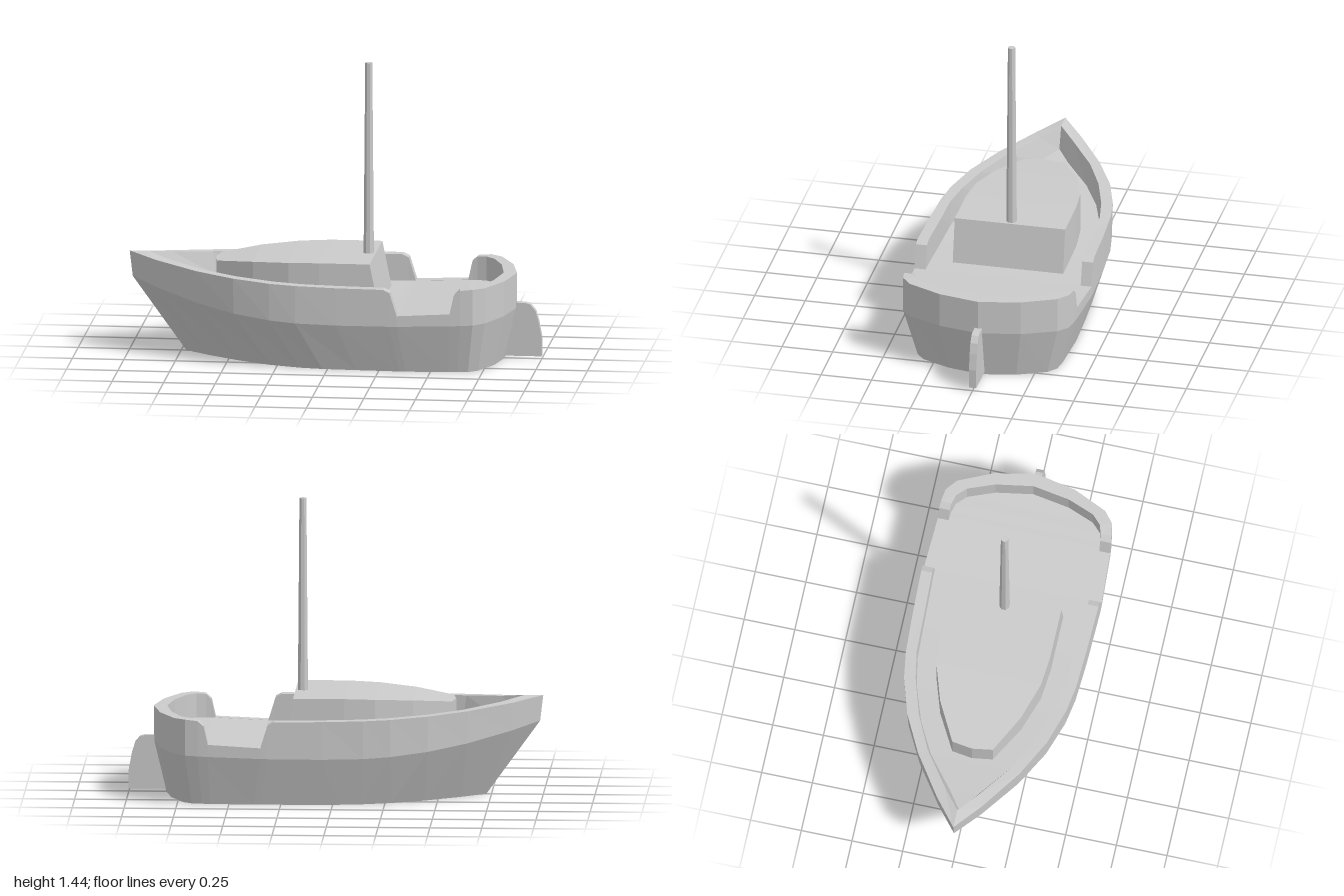
import * as THREE from 'three';

const material = new THREE.MeshStandardMaterial({ color: 0xcccccc, flatShading: true });

function addMesh(group, name, geometry) {
  const mesh = new THREE.Mesh(geometry, material);
  mesh.name = name;
  group.add(mesh);
  return mesh;
}

// Skins a row of half sections (points on the +z side, listed from top to bottom),
// each mirrored into a closed loop.
function loftMirrored(halfSections) {
  const loops = halfSections.map((half) => [
    ...half,
    ...half.map(([x, y, z]) => [x, y, -z]).reverse(),
  ]);
  const positions = [];
  for (let i = 0; i < loops.length - 1; i++) {
    const n = loops[i].length;
    for (let j = 0; j < n; j++) {
      const k = (j + 1) % n;
      const a = loops[i][j], b = loops[i][k], c = loops[i + 1][k], d = loops[i + 1][j];
      positions.push(...a, ...b, ...c, ...a, ...c, ...d);
    }
  }
  const geometry = new THREE.BufferGeometry();
  geometry.setAttribute('position', new THREE.Float32BufferAttribute(positions, 3));
  geometry.computeVertexNormals();
  return geometry;
}

// Stations from bow to stern: rim x, rim z, rim y, inner x, inner z, deck y
const stations = [
  [-1, 0, 0.485, -0.91, 0, 0.38],
  [-0.86, 0.11, 0.465, -0.8, 0.085, 0.36],
  [-0.65, 0.25, 0.445, -0.62, 0.21, 0.335],
  [-0.46, 0.345, 0.433, -0.45, 0.29, 0.32],
  [-0.28, 0.4, 0.424, -0.27, 0.345, 0.305],
  [-0.15, 0.42, 0.42, -0.13, 0.37, 0.295],
  [0.05, 0.43, 0.416, 0.05, 0.375, 0.287],
  [0.28, 0.437, 0.415, 0.28, 0.383, 0.285],
  [0.31, 0.438, 0.4, 0.31, 0.384, 0.285],
  // boarding gap in the bulwark
  [0.345, 0.438, 0.287, 0.345, 0.384, 0.286],
  [0.6, 0.425, 0.3, 0.6, 0.372, 0.299],
  [0.62, 0.423, 0.39, 0.62, 0.371, 0.3],
  [0.65, 0.42, 0.415, 0.645, 0.368, 0.3],
  [0.71, 0.41, 0.42, 0.69, 0.355, 0.302],
  [0.765, 0.365, 0.42, 0.735, 0.31, 0.303],
  [0.84, 0.2, 0.42, 0.785, 0.18, 0.305],
  [0.88, 0, 0.42, 0.815, 0, 0.307],
];

// Hull, bulwark, deck and flat bottom as one closed skin
function hullGeometry() {
  return loftMirrored(stations.map(([x, z, y, ix, iz, deckY]) => {
    const bow = Math.max(0, -x);
    const chineY = 0.232 + (x < 0 ? 0.128 : 0.024) * x * x;
    const bottomX = THREE.MathUtils.mapLinear(x, -1, 0.88, -0.725, 0.82);
    return [
      [ix + 0.04 * bow * bow, deckY, Math.max(0, iz - 0.02 * bow)],
      [ix, y, iz],
      [x, y, z],
      [x + 0.015 * bow * bow, chineY, z * (1 - 0.04 * bow)],
      [bottomX, 0, z * 0.84],
    ];
  }));
}

// Cabin with upright sides, a gently rising roof and a raked aft wall
function cabinGeometry() {
  const floorY = 0.28;
  const sections = [ // x, half width, roof y
    [-0.58, 0, 0.466],
    [-0.565, 0.1, 0.467],
    [-0.38, 0.2, 0.487],
    [-0.2, 0.258, 0.498],
    [-0.05, 0.272, 0.503],
    [0.195, 0.273, 0.503],
    [0.195, 0, 0.503],
  ];
  return loftMirrored(sections.map(([x, z, y]) => [
    [x, y, z],
    [x > 0 ? 0.24 : x, floorY, z],
  ]));
}

// Rudder plate behind the stern
function rudderGeometry() {
  const outline = [
    [0.8, 0.015], [1, 0.015], [1, 0.11], [0.985, 0.19],
    [0.97, 0.24], [0.945, 0.27], [0.92, 0.277], [0.86, 0.277],
  ];
  const shape = new THREE.Shape(outline.map(([x, y]) => new THREE.Vector2(x, y)));
  const depth = 0.036;
  return new THREE.ExtrudeGeometry(shape, { depth, bevelEnabled: false })
    .translate(0, 0, -depth / 2);
}

export function createModel() {
  const boat = new THREE.Group();
  boat.name = 'boat';
  addMesh(boat, 'hull', hullGeometry());
  addMesh(boat, 'cabin', cabinGeometry());
  addMesh(boat, 'rudder', rudderGeometry());

  // Tapered mast standing on the cabin roof
  const mast = addMesh(boat, 'mast', new THREE.CylinderGeometry(0.018, 0.026, 0.95, 8));
  mast.position.set(0.16, 0.965, 0);
  mast.rotation.y = Math.PI / 8;
  return boat;
}
